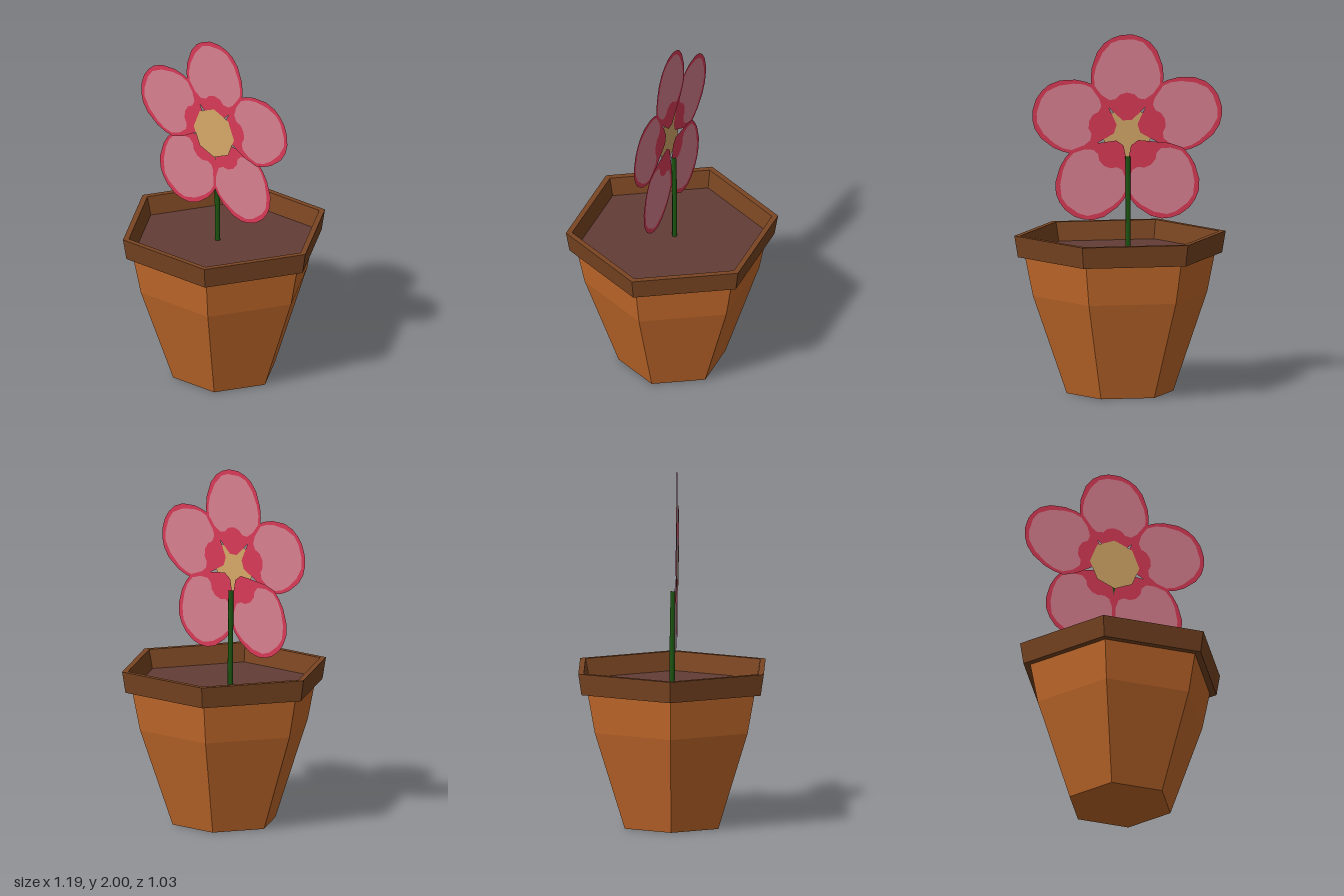
import * as THREE from 'three';

const mat = (name, color, side = THREE.FrontSide) => {
  const m = new THREE.MeshStandardMaterial({ color, side });
  m.name = name;
  return m;
};

// Six-sided turned solid with flat faces and corners on the x axis
function hexLathe(profile) {
  const points = profile.map(([r, y]) => new THREE.Vector2(r, y));
  const geo = new THREE.LatheGeometry(points, 6, Math.PI / 6).toNonIndexed();
  geo.computeVertexNormals();
  return geo;
}

// Closed point list from one mirrored half, given from base to tip
function mirrored(half) {
  const left = half.filter(([u]) => u > 0).reverse().map(([u, v]) => [-u, v]);
  return [...half, ...left].map(([u, v]) => new THREE.Vector2(u, v));
}

export function createModel() {
  const clay = mat('clay', 0xc86c2c);
  const darkClay = mat('darkClay', 0x7a4522);
  const earth = mat('earth', 0x633d37);
  const green = mat('stemGreen', 0x1d5612);
  const red = mat('petalRed', 0xd93a57, THREE.DoubleSide);
  const pink = mat('petalPink', 0xd98090, THREE.DoubleSide);
  const yellow = mat('centreYellow', 0xd6a868, THREE.DoubleSide);

  const model = new THREE.Group();
  model.name = 'pottedFlower';
  const add = (parent, name, geo, material) => {
    const mesh = new THREE.Mesh(geo, material);
    mesh.name = name;
    parent.add(mesh);
    return mesh;
  };

  // Pot
  add(model, 'potBody', hexLathe([[0, 0], [0.3, 0], [0.49, 0.55], [0.535, 0.772]]), clay);
  add(model, 'potRim', hexLathe([[0.525, 0.77], [0.575, 0.77], [0.595, 0.89], [0.56, 0.89], [0.533, 0.775]]), darkClay);
  add(model, 'soil', hexLathe([[0.536, 0.785], [0, 0.785]]), earth);

  // Stem, leaning slightly forward
  const stemPath = new THREE.CatmullRomCurve3([
    new THREE.Vector3(-0.045, 0.77, 0.002),
    new THREE.Vector3(-0.046, 1.05, 0.003),
    new THREE.Vector3(-0.045, 1.32, 0.008),
  ]);
  add(model, 'stem', new THREE.TubeGeometry(stemPath, 4, 0.015, 6), green);

  // Flower head: five flat petals, each a red border around a pink panel
  const flower = new THREE.Group();
  flower.name = 'flower';
  flower.position.set(-0.045, 1.45, 0);
  model.add(flower);

  const outline = mirrored([
    [0.025, 0.07], [0.085, 0.125], [0.155, 0.19], [0.2, 0.255], [0.205, 0.31], [0.2, 0.37],
    [0.17, 0.455], [0.13, 0.505], [0.085, 0.533], [0.035, 0.549], [0, 0.55],
  ]);
  const panel = mirrored([
    [0, 0.225], [0.04, 0.215], [0.065, 0.19], [0.1, 0.185], [0.145, 0.215], [0.183, 0.265],
    [0.187, 0.32], [0.175, 0.375], [0.14, 0.45], [0.09, 0.505], [0.04, 0.522], [0, 0.522],
  ]);
  const border = new THREE.Shape(outline);
  border.holes.push(new THREE.Path(panel));
  const borderGeo = new THREE.ShapeGeometry(border);
  const panelGeo = new THREE.ShapeGeometry(new THREE.Shape(panel));

  const depths = [0.028, 0.031, 0.021, 0.024, 0.03];
  depths.forEach((z, i) => {
    const petal = new THREE.Group();
    petal.name = `petal${i + 1}`;
    petal.position.z = z;
    petal.rotation.z = (i * Math.PI * 2) / 5;
    add(petal, 'petalBorder', borderGeo, red);
    add(petal, 'petalPanel', panelGeo, pink);
    flower.add(petal);
  });

  // Eight-sided flower centre
  const centre = add(flower, 'flowerCentre', new THREE.CircleGeometry(0.147, 8), yellow);
  centre.position.z = 0.034;

  return model;
}
